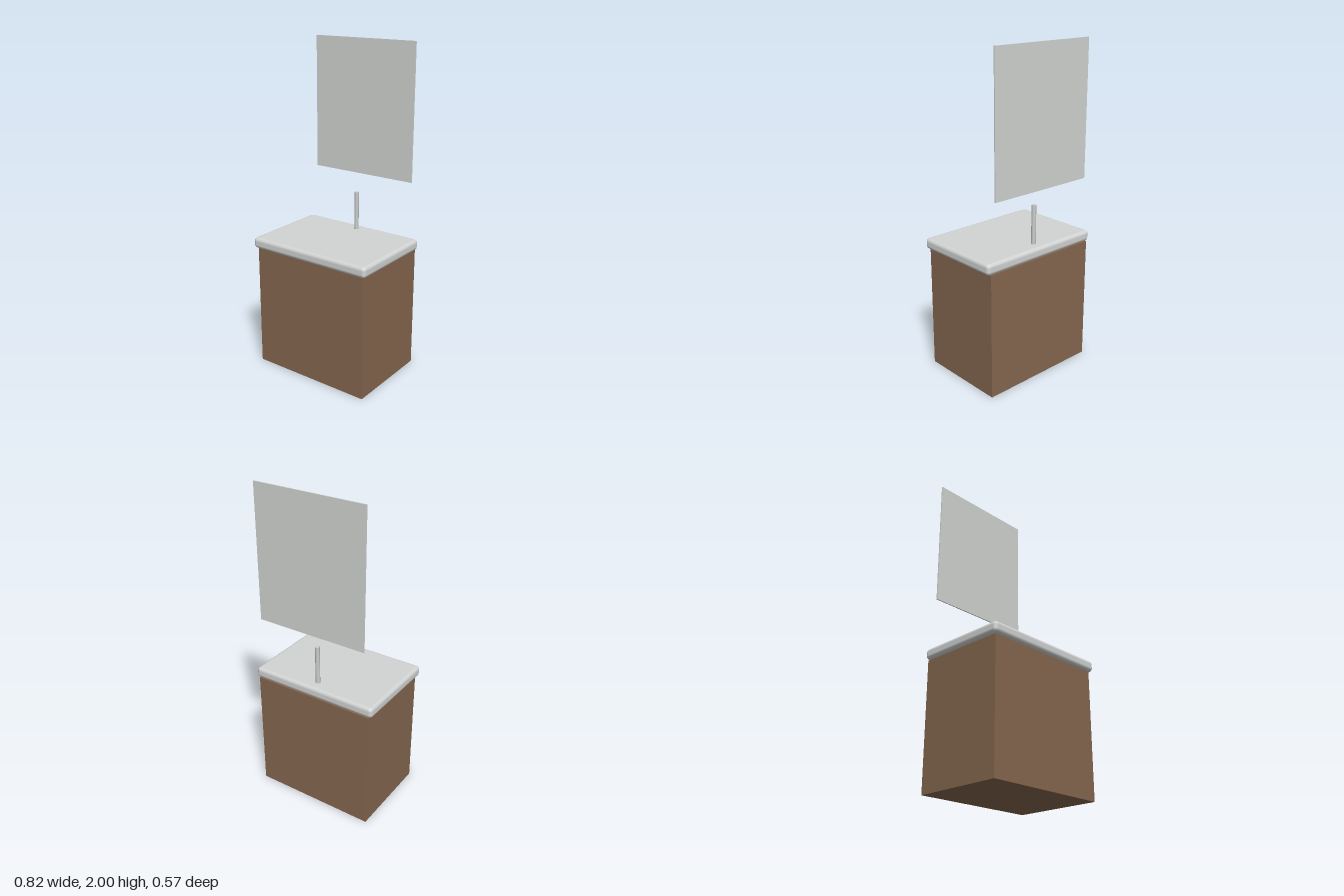
import * as THREE from 'three';
import { RoundedBoxGeometry } from 'three/addons/geometries/RoundedBoxGeometry.js';

function material(name, color) {
  const m = new THREE.MeshStandardMaterial({ color });
  m.name = name;
  return m;
}

export function createModel() {
  const group = new THREE.Group();
  group.name = 'washstand';

  const wood = material('brown wood', 0x85674f);
  const ceramic = material('pale ceramic', 0xd2d4d3);
  const metal = material('faucet metal', 0xcdcfcf);
  const glass = material('mirror glass', 0xd2d5d2);

  const add = (name, geometry, mat, x, y, z) => {
    const mesh = new THREE.Mesh(geometry, mat);
    mesh.name = name;
    mesh.position.set(x, y, z);
    group.add(mesh);
  };

  // Cabinet, flush with the wall at the back
  add('cabinet', new THREE.BoxGeometry(0.776, 0.77, 0.55), wood, 0, 0.385, -0.01);

  // Countertop with softened edges, overhanging the front and sides
  add('countertop', new RoundedBoxGeometry(0.82, 0.068, 0.574, 2, 0.023), ceramic, 0, 0.802, 0);

  // Upright faucet pipe
  add('faucet', new THREE.CylinderGeometry(0.014, 0.014, 0.245, 8), metal, 0, 0.9535, -0.218);

  // Thin wall mirror
  add('mirror', new THREE.BoxGeometry(0.704, 0.82, 0.007), glass, 0, 1.59, -0.28);

  return group;
}
